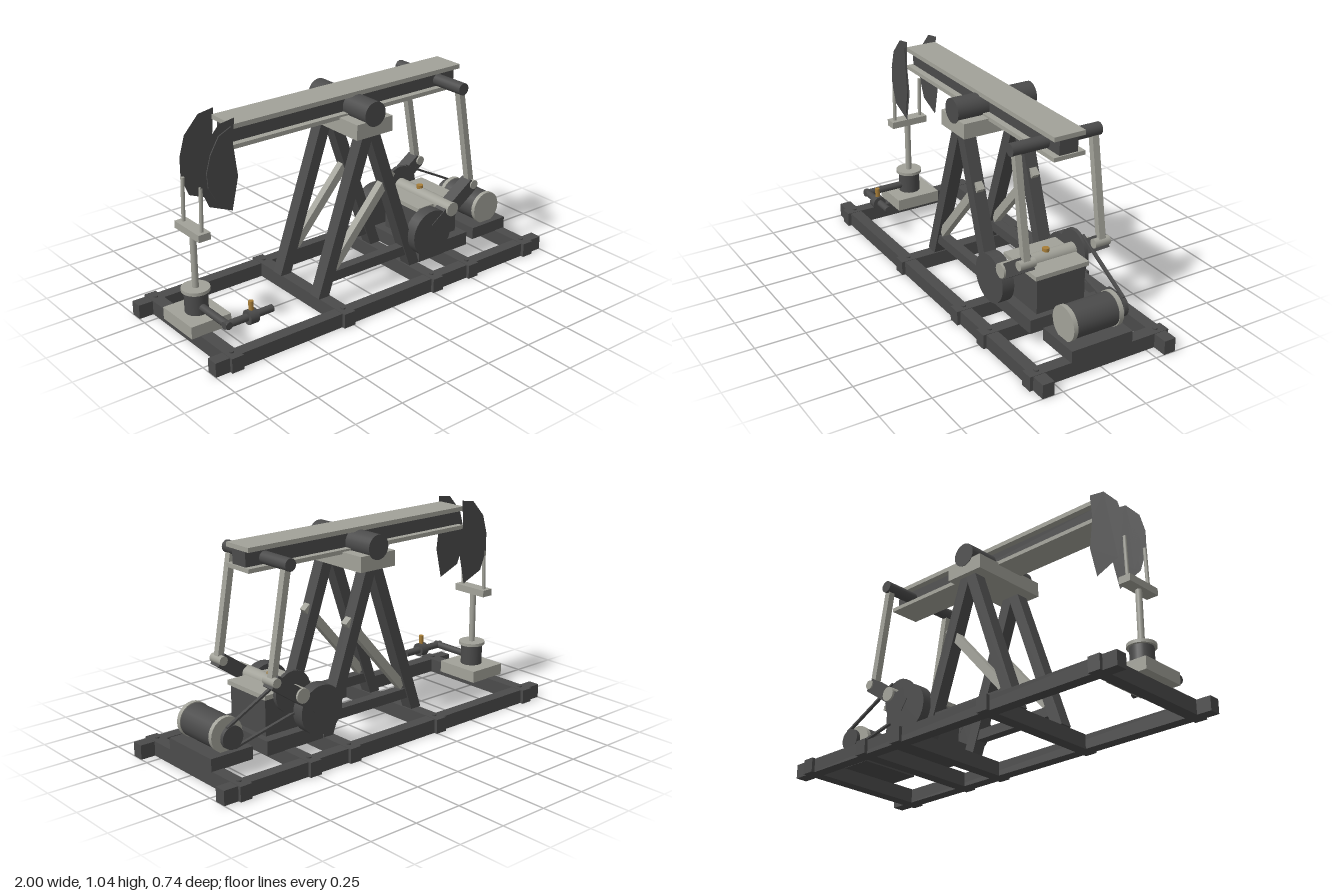
import * as THREE from 'three';

const mat = (name, color, side = THREE.FrontSide) => {
  const m = new THREE.MeshStandardMaterial({ color, side });
  m.name = name;
  return m;
};

export function createModel() {
  const model = new THREE.Group();
  model.name = 'pumpJack';
  const dark = mat('darkSteel', 0x4b4b4b, THREE.DoubleSide);
  const light = mat('lightSteel', 0xa2a299);
  const brass = mat('brass', 0xa87e38);

  const add = (name, geo, m, x = 0, y = 0, z = 0) => {
    const mesh = new THREE.Mesh(geo, m);
    mesh.name = name;
    mesh.position.set(x, y, z);
    model.add(mesh);
    return mesh;
  };
  // Box given by its limits on each axis
  const box = (name, m, x0, x1, y0, y1, z0, z1) =>
    add(name, new THREE.BoxGeometry(x1 - x0, y1 - y0, z1 - z0), m, (x0 + x1) / 2, (y0 + y1) / 2, (z0 + z1) / 2);
  // Bar between two points of an upright plane
  const bar = (name, m, [x0, y0], [x1, y1], width, depth, z) => {
    const b = add(name, new THREE.BoxGeometry(Math.hypot(x1 - x0, y1 - y0), width, depth), m, (x0 + x1) / 2, (y0 + y1) / 2, z);
    b.rotation.z = Math.atan2(y1 - y0, x1 - x0);
    return b;
  };
  // Cylinder along a named axis, given by its centre
  const cyl = (name, m, axis, r, len, x, y, z, seg = 24) => {
    const g = new THREE.CylinderGeometry(r, r, len, seg);
    if (axis === 'x') g.rotateZ(Math.PI / 2);
    if (axis === 'z') g.rotateX(Math.PI / 2);
    return add(name, g, m, x, y, z);
  };
  const shape = pts => new THREE.Shape(pts.map(p => new THREE.Vector2(...p)));
  const sides = [1, -1];

  // Skid frame
  const crossX = [-0.895, -0.275, 0.275, 0.51, 0.895];
  for (const s of sides) {
    add('skidRail', new THREE.BoxGeometry(2, 0.07, 0.06), dark, 0, 0.035, s * 0.325);
    for (const x of crossX) cyl('skidBolt', dark, 'y', 0.011, 0.008, x, 0.075, s * 0.32, 8);
  }
  for (const x of crossX) box('crossMember', dark, x - 0.031, x + 0.031, 0, 0.072, -0.372, 0.372);

  // Samson post: legs, ties and diagonal braces
  for (const s of sides) {
    const z = s * 0.151;
    for (const d of sides) bar('postLeg', dark, [d * 0.285, 0.065], [d * 0.015, 0.84], 0.058, 0.065, z);
    box('postTie', dark, -0.25, 0.25, 0.135, 0.185, z - 0.025, z + 0.025);
    bar('diagonalBrace', light, [-0.205, 0.2], [0.145, 0.6], 0.042, 0.038, z);
  }
  box('saddleBearing', light, -0.105, 0.105, 0.83, 0.905, -0.21, 0.21);
  cyl('saddleShaft', dark, 'z', 0.06, 0.426, 0, 0.935, 0);

  // Walking beam
  box('beamTopFlange', light, -0.69, 0.643, 0.988, 1.01, -0.081, 0.081);
  box('beamBottomFlange', light, -0.69, 0.643, 0.895, 0.915, -0.081, 0.081);
  box('beamWeb', dark, -0.685, 0.635, 0.915, 0.988, -0.048, 0.048);
  cyl('equalizerBar', dark, 'z', 0.03, 0.466, 0.53, 0.945, 0);

  // Horse head: two cheek plates with a raised panel on the front one
  const cheek = shape([[-0.68, 1.04], [-0.76, 1.027], [-0.835, 0.945], [-0.863, 0.85], [-0.863, 0.755],
    [-0.825, 0.66], [-0.705, 0.61], [-0.67, 0.765], [-0.69, 0.92]]);
  for (const s of sides) add('headCheek', new THREE.ShapeGeometry(cheek), dark, 0, 0, s * 0.082);
  const panel = shape([[-0.7, 1.005], [-0.765, 0.975], [-0.81, 0.9], [-0.833, 0.82], [-0.828, 0.75],
    [-0.79, 0.68], [-0.705, 0.648], [-0.685, 0.765], [-0.695, 0.92]]);
  add('headPanel', new THREE.ExtrudeGeometry(panel, { depth: 0.006, bevelEnabled: false }), dark, 0, 0, 0.082);

  // Bridle, carrier bar and polished rod
  for (const s of sides) {
    const hanger = cyl('bridleRod', light, 'y', 0.009, 0.215, -0.862, 0.65, s * 0.074, 12);
    hanger.rotation.z = -0.03;
  }
  box('carrierBar', light, -0.897, -0.835, 0.515, 0.55, -0.1, 0.1);
  cyl('polishedRod', light, 'y', 0.0155, 0.28, -0.866, 0.38, 0, 16);

  // Wellhead with side outlet and valve
  box('wellBase', light, -0.97, -0.76, 0.07, 0.13, -0.12, 0.12);
  cyl('wellBody', dark, 'y', 0.055, 0.105, -0.866, 0.1825, 0);
  cyl('wellFlange', light, 'y', 0.067, 0.016, -0.866, 0.243, 0);
  cyl('outletPipe', dark, 'z', 0.018, 0.25, -0.866, 0.167, 0.143, 16);
  cyl('flowPipe', dark, 'x', 0.018, 0.26, -0.754, 0.167, 0.25, 16);
  cyl('valveBody', dark, 'x', 0.035, 0.045, -0.74, 0.167, 0.253, 20);
  cyl('valveStem', brass, 'y', 0.012, 0.05, -0.74, 0.22, 0.253, 12);

  // Gearbox
  box('gearboxPlinth', dark, 0.315, 0.637, 0.07, 0.14, -0.183, 0.183);
  box('gearboxCase', dark, 0.36, 0.605, 0.14, 0.318, -0.13, 0.13);
  box('gearboxLid', light, 0.34, 0.615, 0.318, 0.34, -0.143, 0.143);
  cyl('crankShaft', light, 'z', 0.036, 0.49, 0.475, 0.335, 0);
  cyl('breatherCap', brass, 'y', 0.017, 0.04, 0.475, 0.365, 0, 12);

  // Cranks, counterweights and pitman arms
  for (const s of sides) {
    bar('crankArm', dark, [0.37, 0.253], [0.625, 0.43], 0.068, 0.066, s * 0.201);
    cyl('counterweight', dark, 'z', 0.12, 0.062, 0.357, 0.235, s * 0.2, 32);
    cyl('crankPin', light, 'z', 0.023, 0.082, 0.62, 0.427, s * 0.2, 16);
    bar('pitmanArm', light, [0.62, 0.427], [0.53, 0.945], 0.032, 0.034, s * 0.202);
  }

  // Motor
  box('motorBase', dark, 0.705, 0.93, 0.07, 0.132, -0.165, 0.16);
  cyl('motorBody', dark, 'z', 0.08, 0.23, 0.82, 0.207, 0);
  for (const s of sides) cyl('motorEndCap', light, 'z', 0.084, 0.022, 0.82, 0.207, s * 0.122);

  // Belt drive behind the gearbox
  const a = { x: 0.475, y: 0.335, r: 0.1 }, b = { x: 0.82, y: 0.207, r: 0.055 };
  cyl('gearboxSheave', dark, 'z', a.r, 0.02, a.x, a.y, -0.16);
  cyl('motorSheave', dark, 'z', b.r, 0.02, b.x, b.y, -0.17);
  cyl('motorShaft', dark, 'z', 0.015, 0.05, b.x, b.y, -0.15, 12);
  const dir = Math.atan2(b.y - a.y, b.x - a.x);
  const spread = Math.acos((a.r - b.r) / Math.hypot(b.x - a.x, b.y - a.y));
  for (const s of sides) {
    const t = dir + s * spread;
    const tangent = p => [p.x + p.r * Math.cos(t), p.y + p.r * Math.sin(t)];
    bar('driveBelt', dark, tangent(a), tangent(b), 0.01, 0.016, -0.17);
  }
  return model;
}
